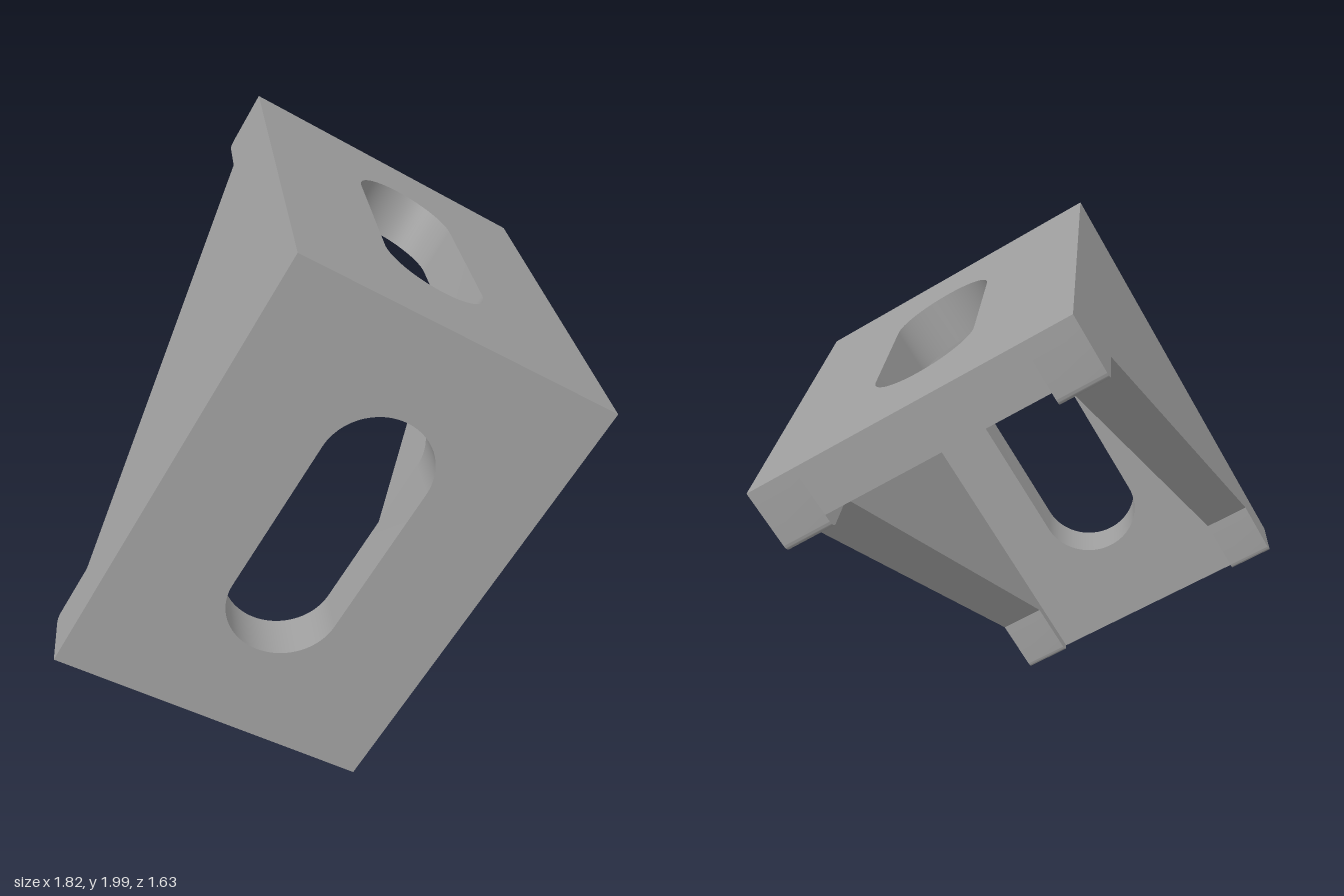
import * as THREE from 'three';
import { toCreasedNormals } from 'three/addons/utils/BufferGeometryUtils.js';

const HALF_W = 0.583;  // half the bracket width
const H = 0.815;       // half the leg length
const PLATE = 0.18;    // plate thickness
const RIB = 0.175;     // side rib thickness
const FOOT = 0.23;     // size of the rib ends
const FILLET = 0.03;

const steel = new THREE.MeshStandardMaterial({ color: 0xa0a0a0 });
steel.name = 'plain grey';

function extrude(shape, depth) {
  const g = new THREE.ExtrudeGeometry(shape, { depth, bevelEnabled: false, curveSegments: 24 });
  return toCreasedNormals(g, 0.5);
}

function part(name, geometry) {
  const mesh = new THREE.Mesh(geometry, steel);
  mesh.name = name;
  return mesh;
}

// Rectangle between the ribs with a central rounded slot
function slottedShape(bottom) {
  const w = HALF_W - RIB, r = 0.194, c = 0.29;
  const shape = new THREE.Shape([
    new THREE.Vector2(-w, bottom), new THREE.Vector2(w, bottom),
    new THREE.Vector2(w, H), new THREE.Vector2(-w, H),
  ]);
  const slot = new THREE.Path();
  slot.moveTo(r, -c);
  slot.lineTo(r, c);
  slot.absarc(0, c, r, 0, Math.PI, false);
  slot.lineTo(-r, -c);
  slot.absarc(0, -c, r, Math.PI, Math.PI * 2, false);
  shape.holes.push(slot);
  return shape;
}

// Side profile: two square feet joined by a diagonal brace
function ribShape() {
  const s = new THREE.Shape();
  const f = H - FOOT;
  s.moveTo(-H, -H);
  s.lineTo(-f - FILLET, -H);
  s.quadraticCurveTo(-f, -H, -f, -H + FILLET);
  s.lineTo(-f, -f);
  s.lineTo(f, f);
  s.lineTo(H - FILLET, f);
  s.quadraticCurveTo(H, f, H, f + FILLET);
  s.lineTo(H, H);
  s.lineTo(-H, H);
  s.closePath();
  return s;
}

export function createModel() {
  const model = new THREE.Group();
  model.name = 'cornerBracket';

  // Upright plate
  const front = extrude(slottedShape(-H), PLATE);
  front.translate(0, 0, H - PLATE);
  model.add(part('frontPlate', front));

  // Upper plate, running back from the upright one
  const top = extrude(slottedShape(-H + PLATE), PLATE);
  top.rotateX(-Math.PI / 2);
  top.translate(0, H - PLATE, 0);
  model.add(part('topPlate', top));

  // Side ribs
  for (const [name, x] of [['leftRib', HALF_W - RIB], ['rightRib', -HALF_W]]) {
    const rib = extrude(ribShape(), RIB);
    rib.rotateY(Math.PI / 2);
    rib.translate(x, 0, 0);
    model.add(part(name, rib));
  }

  // The whole bracket leans to its left
  model.rotation.z = -Math.PI / 6;
  model.position.y = 0.998;

  const root = new THREE.Group();
  root.name = 'bracket';
  root.add(model);
  return root;
}
